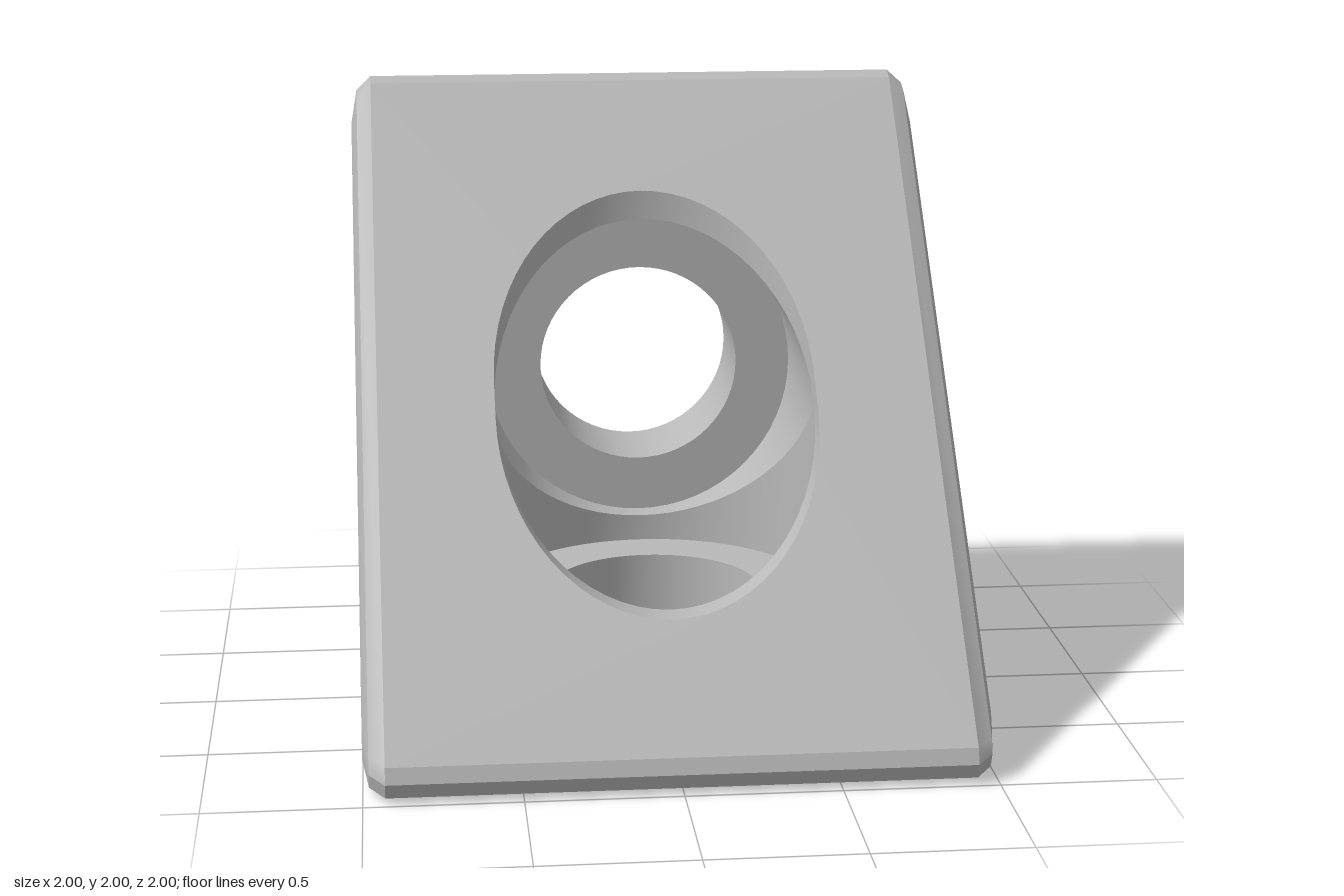
import * as THREE from 'three';
import { toCreasedNormals } from 'three/addons/utils/BufferGeometryUtils.js';

const HOLE = 0.35, BORE = 0.54;    // through hole and counterbore radii
const LEDGE = -0.63;               // counterbore depth, measured from the axes' crossing
const FLAT = 0.93;                 // half width of the flat panels inside the bevels
const SLOPE = 0.1;                 // slope plane: y + z = SLOPE

const grey = new THREE.MeshStandardMaterial({ color: 0xb8b8b8, side: THREE.DoubleSide });
grey.name = 'grey';

function addMesh(parent, name, geometry) {
  const mesh = new THREE.Mesh(geometry, grey);
  mesh.name = name;
  parent.add(mesh);
}

// Skin through consecutive rows of points
function loft(rows) {
  const n = rows[0].length, index = [];
  for (let r = 0; r < rows.length - 1; r++) {
    for (let i = 0; i < n - 1; i++) {
      const a = r * n + i, b = a + n;
      index.push(a, b, a + 1, b, b + 1, a + 1);
    }
  }
  const geometry = new THREE.BufferGeometry();
  geometry.setAttribute('position', new THREE.Float32BufferAttribute(rows.flat(2), 3));
  geometry.setIndex(index);
  geometry.computeVertexNormals();
  return toCreasedNormals(geometry, 0.5);
}

// Row of points around the vertical axis; height may depend on z
function arc(radius, height, from = 0, to = Math.PI * 2, steps = 64) {
  return Array.from({ length: steps + 1 }, (_, i) => {
    const t = from + (to - from) * i / steps;
    const z = radius * Math.cos(t);
    return [radius * Math.sin(t), height(z), z];
  });
}

function panel(halfWidth, halfHeight, hole) {
  const shape = new THREE.Shape([[-1, -1], [1, -1], [1, 1], [-1, 1]]
    .map(([x, y]) => new THREE.Vector2(x * halfWidth, y * halfHeight)));
  shape.holes.push(hole);
  return new THREE.ShapeGeometry(shape, 32);
}

// Flat wall with its through hole, ledge and counterbore
function boredWall(name) {
  const wall = new THREE.Group();
  wall.name = name;
  const circle = new THREE.Path().absarc(0, 0, HOLE, 0, Math.PI * 2, true);
  addMesh(wall, 'outerFace', panel(FLAT, FLAT, circle).rotateX(Math.PI / 2).translate(0, -1, 0));
  addMesh(wall, 'throughHole', loft([arc(HOLE, () => -1), arc(HOLE, () => LEDGE)]));
  addMesh(wall, 'ledge', loft([arc(HOLE, () => LEDGE), arc(BORE, () => LEDGE)]));
  // The bore stops where it meets the other bore, and resumes up to the slope
  addMesh(wall, 'lowerBore', loft([arc(BORE, () => LEDGE), arc(BORE, z => -Math.abs(z))]));
  const half = [Math.PI / 2, Math.PI * 1.5, 32];
  addMesh(wall, 'upperBore', loft([arc(BORE, z => -z, ...half), arc(BORE, z => SLOPE - z, ...half)]));
  return wall;
}

export function createModel() {
  const model = new THREE.Group();
  model.name = 'cornerBracket';
  const body = new THREE.Group();
  body.name = 'wedgeBody';
  body.position.y = 1;
  model.add(body);

  // Floor, and the same wall turned over to make the back
  body.add(boredWall('floor'));
  const back = boredWall('back');
  back.quaternion.setFromAxisAngle(new THREE.Vector3(0, Math.SQRT1_2, Math.SQRT1_2), Math.PI);
  body.add(back);

  // Sloping face with the opening left by both bores
  const opening = new THREE.Path();
  const edge = [];
  for (const side of [1, -1]) {
    for (let i = 0; i <= 32; i++) {
      const t = Math.PI * i / 32;
      edge.push(new THREE.Vector2(side * BORE * Math.cos(t),
        side * (SLOPE / 2 + BORE * Math.sin(t)) * Math.SQRT2));
    }
  }
  opening.setFromPoints(edge);
  addMesh(body, 'slope', panel(FLAT, FLAT * Math.SQRT2, opening)
    .rotateX(-Math.PI / 4).translate(0, SLOPE / 2, SLOPE / 2));

  // Small cheeks where the bores touch at their sides
  for (const side of [1, -1]) {
    const x = side * BORE;
    const ends = [[x, SLOPE, 0], [x, 0, SLOPE]];
    if (side < 0) ends.reverse();
    addMesh(body, 'boreCheek', loft([[[x, 0, 0], [x, 0, 0]], ends]));
  }

  // Rounded triangular profile as [z, y], scaled about its incentre for the bevels
  const profile = [[0.98, -0.88], [1, -0.93], [0.98, -0.98], [0.93, -1],
    [-0.93, -1], [-0.98, -0.98], [-1, -0.93],
    [-1, 0.93], [-0.98, 0.98], [-0.93, 1], [-0.88, 0.98]];
  const C = -0.385;
  const row = (points, x, s) => points.map(([z, y]) => [x, C + (y - C) * s, C + (z - C) * s]);

  // Side faces with bevelled rims
  const closed = [...profile, profile[0]];
  const rings = [[1, 0], [1, 0.886], [0.98, 0.967], [FLAT, 1]];
  addMesh(body, 'leftSide', loft(rings.map(([x, s]) => row(closed, x, s))));
  addMesh(body, 'rightSide', loft(rings.map(([x, s]) => row(closed, -x, s)).reverse()));

  // Rounded edges between the flat faces
  for (const [name, a, b] of [['frontEdge', 0, 4], ['heelEdge', 4, 7], ['topEdge', 7, 11]]) {
    const run = profile.slice(a, b);
    addMesh(body, name, loft([row(run, FLAT, 1), row(run, -FLAT, 1)]));
  }
  return model;
}
